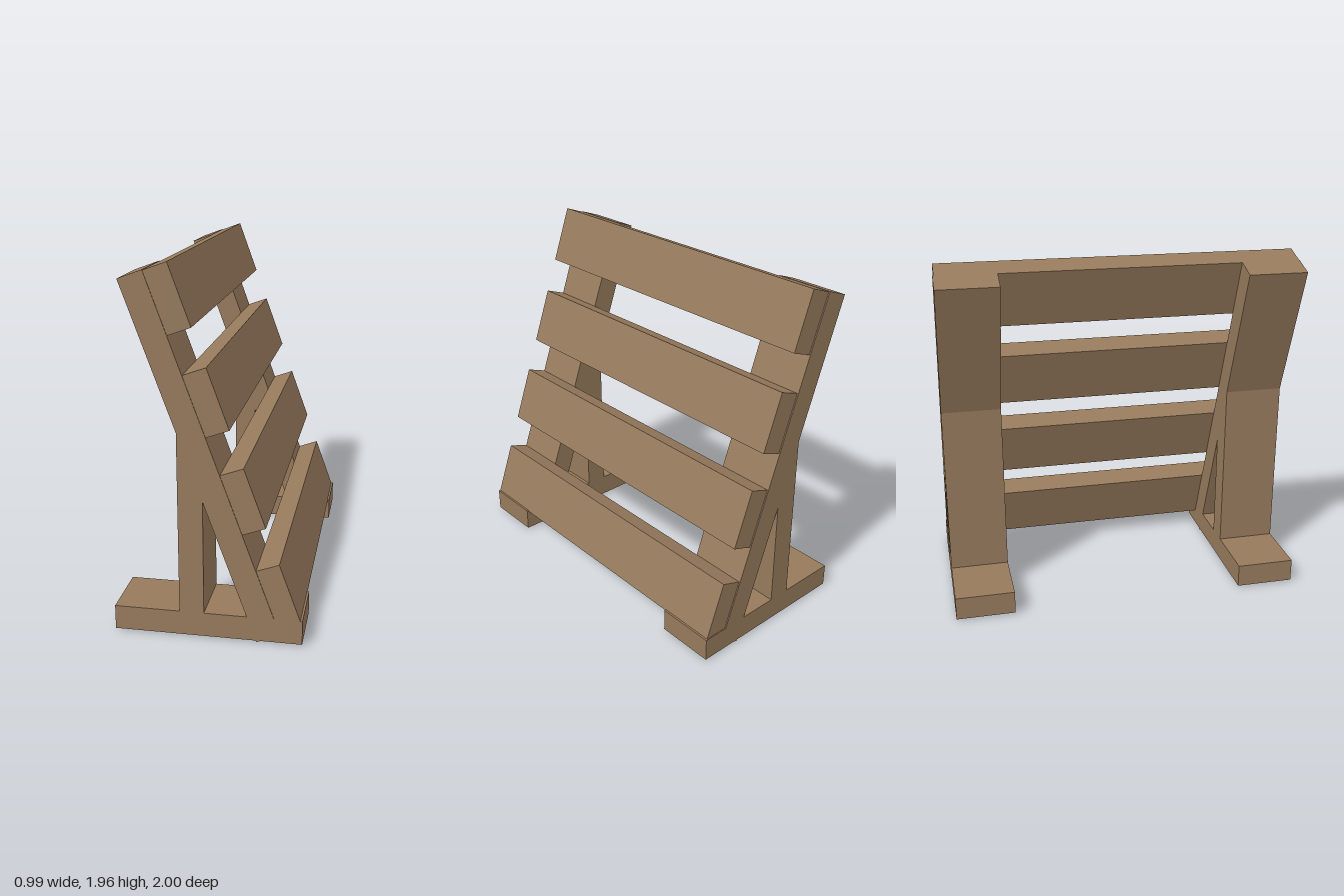
import * as THREE from 'three';

const TILT = THREE.MathUtils.degToRad(20);
const UP = new THREE.Vector2(-Math.sin(TILT), Math.cos(TILT)); // along the leaning posts
const OUT = new THREE.Vector2(Math.cos(TILT), Math.sin(TILT)); // out of the slatted face

export function createModel() {
  const group = new THREE.Group();
  const wood = new THREE.MeshStandardMaterial({ color: 0x967a5c });
  wood.name = 'wood';

  function add(name, geometry, x, y, z, tilt = 0) {
    const mesh = new THREE.Mesh(geometry, wood);
    mesh.name = name;
    mesh.position.set(x, y, z);
    mesh.rotation.z = tilt;
    group.add(mesh);
  }

  // Foot, leaning post and upright brace at each end
  const width = 0.333;
  const footGeometry = new THREE.BoxGeometry(0.993, 0.132, width);
  const postGeometry = new THREE.BoxGeometry(0.133, 1.99, width);
  const braceShape = new THREE.Shape([
    new THREE.Vector2(-0.15, 0.14),
    new THREE.Vector2(-0.02, 0.14),
    new THREE.Vector2(-0.02, 0.76),
    new THREE.Vector2(-0.15, 1.117),
  ]);
  const braceGeometry = new THREE.ExtrudeGeometry(braceShape, { depth: width, bevelEnabled: false });
  braceGeometry.translate(0, 0, -width / 2);

  const post = new THREE.Vector2(0.256, 0).addScaledVector(OUT, 0.0665).addScaledVector(UP, 0.995);
  for (const [side, sign] of [['front', 1], ['back', -1]]) {
    const z = sign * (1 - width / 2);
    add(side + 'Foot', footGeometry, -0.002, 0.074, z);
    add(side + 'LeaningPost', postGeometry, post.x, post.y, z, TILT);
    add(side + 'Brace', braceGeometry, 0, 0, z);
  }

  // Four slats stepping up the posts, placed from their lower outer edges
  const slatGeometry = new THREE.BoxGeometry(0.127, 0.331, 1.994);
  for (let i = 0; i < 4; i++) {
    const slat = new THREE.Vector2(0.485 - 0.1833 * i, 0.135 + 0.5035 * i)
      .addScaledVector(OUT, -0.0635)
      .addScaledVector(UP, 0.1655);
    add('slat' + (i + 1), slatGeometry, slat.x, slat.y, 0.003, TILT);
  }

  return group;
}
